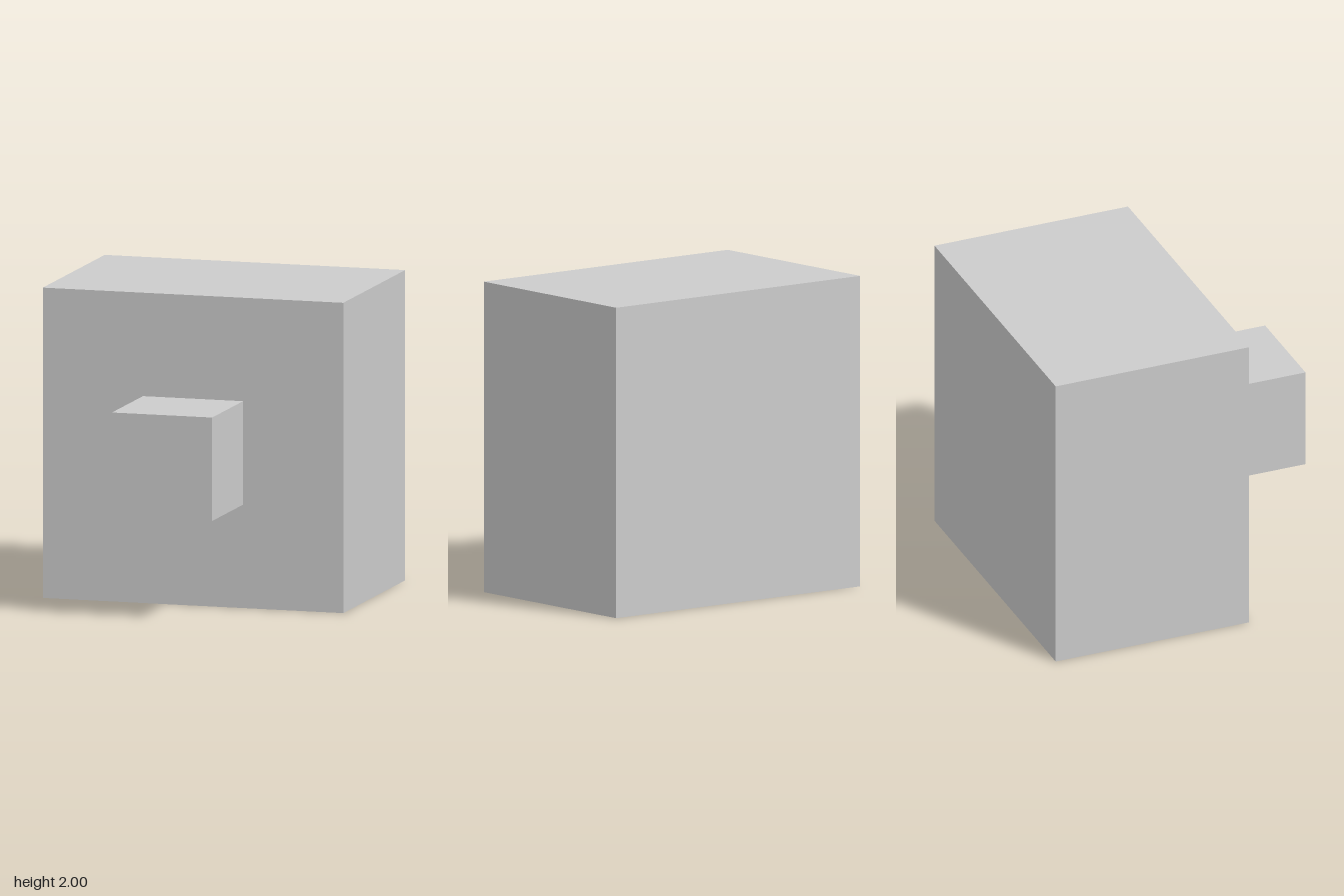
import * as THREE from 'three';

const UNIT = 2 / 3; // the knob's edge; the block is 3 x 3 x 2 of these

export function createModel() {
  const model = new THREE.Group();
  const material = new THREE.MeshStandardMaterial({ color: 0xcccccc });

  const addBox = (name, width, height, depth, z) => {
    const mesh = new THREE.Mesh(new THREE.BoxGeometry(width, height, depth), material);
    mesh.name = name;
    mesh.position.set(0, 1, z);
    model.add(mesh);
  };

  // Large block at the back
  addBox('block', 3 * UNIT, 3 * UNIT, 2 * UNIT, -UNIT / 2);

  // Cube standing out from the centre of the front face
  addBox('frontKnob', UNIT, UNIT, UNIT, UNIT);

  return model;
}
